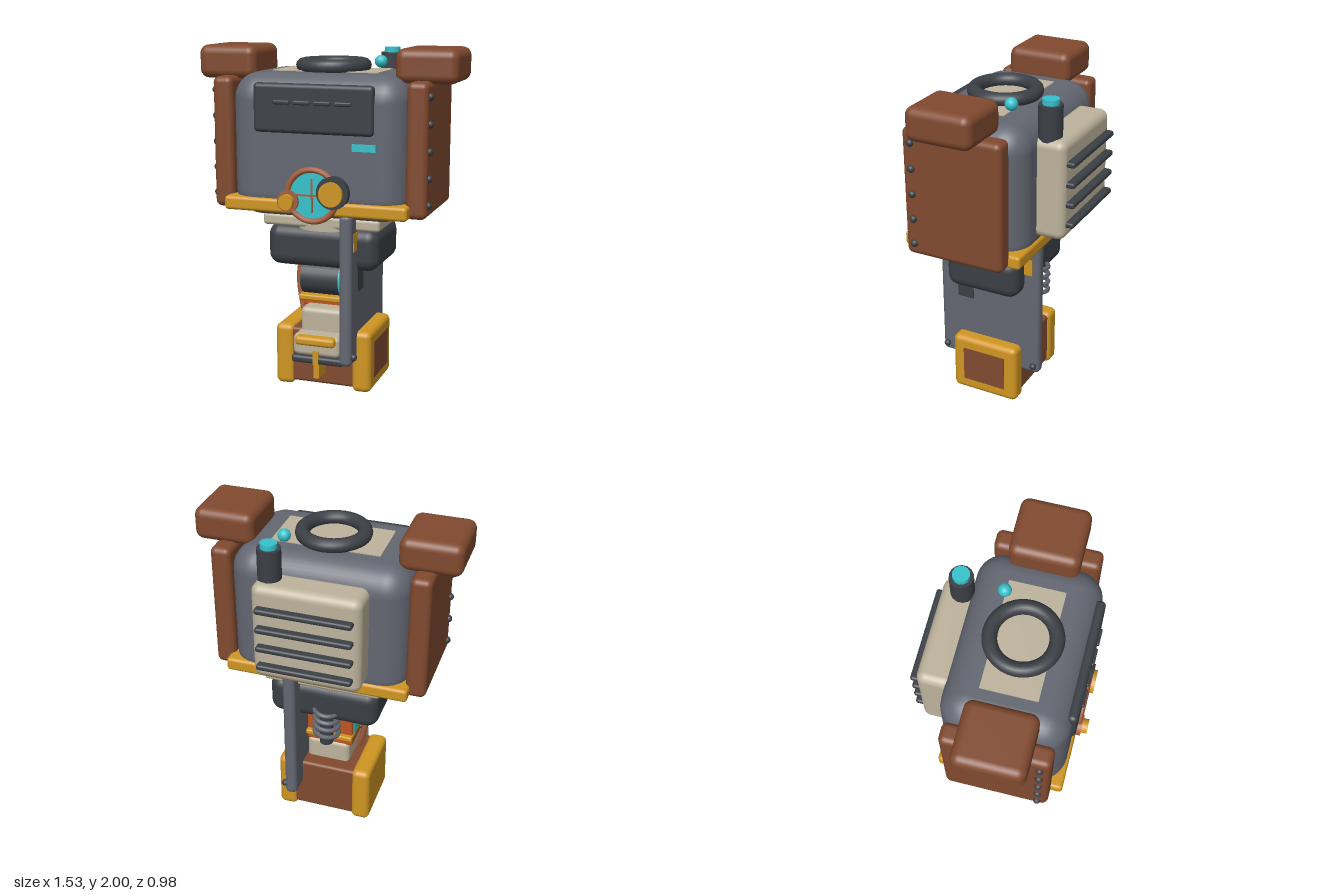
import * as THREE from 'three';
import { RoundedBoxGeometry } from 'three/addons/geometries/RoundedBoxGeometry.js';

export function createModel() {
  const model = new THREE.Group();
  model.name = 'walkerRobot';

  const mat = (name, color) => {
    const m = new THREE.MeshStandardMaterial({ color });
    m.name = name;
    return m;
  };
  const steel = mat('steelGrey', 0x636771);
  const rust = mat('rustBrown', 0x814a2f);
  const dark = mat('charcoal', 0x3b4046);
  const yellow = mat('ochreYellow', 0xcf9522);
  const cream = mat('cream', 0xbdb39c);
  const cyan = mat('cyan', 0x36c2cc);
  const copper = mat('copper', 0xa65e3d);
  const orange = mat('burntOrange', 0xbd5520);

  const add = (name, geo, material, x = 0, y = 0, z = 0) => {
    const m = new THREE.Mesh(geo, material);
    m.name = name;
    m.position.set(x, y, z);
    model.add(m);
    return m;
  };
  // Boxes are given by their extents: [min, max] on each axis
  const box = (name, material, [x0, x1], [y0, y1], [z0, z1], r = 0) => {
    const s = [x1 - x0, y1 - y0, z1 - z0];
    const geo = r ? new RoundedBoxGeometry(...s, 4, r) : new THREE.BoxGeometry(...s);
    return add(name, geo, material, (x0 + x1) / 2, (y0 + y1) / 2, (z0 + z1) / 2);
  };
  const ball = (name, material, r, x, y, z) =>
    add(name, new THREE.SphereGeometry(r, 16, 10), material, x, y, z);
  // Disc facing the front
  const dial = (name, material, r, x, y, z0, z1) => {
    const m = add(name, new THREE.CylinderGeometry(r, r, z1 - z0, 28), material, x, y, (z0 + z1) / 2);
    m.rotation.x = Math.PI / 2;
    return m;
  };

  // Torso
  box('torso', steel, [-0.515, 0.515], [1.04, 1.86], [-0.285, 0.415], 0.15);
  box('bumperFrame', yellow, [-0.54, 0.54], [1.08, 1.16], [-0.295, 0.43], 0.02);

  // Side armour, shoulder pads and rivets
  for (const s of [-1, 1]) {
    const span = (a, b) => (s > 0 ? [a, b] : [-b, -a]);
    box('sideArmour', rust, span(0.51, 0.63), [1.08, 1.83], [-0.23, 0.365], 0.035);
    box('shoulderPad', rust, span(0.413, 0.765), [1.81, 2.0], [-0.128, 0.262], 0.05);
    for (let i = 0; i < 5; i++) ball('rivet', dark, 0.022, s * 0.63, 1.155 + i * 0.149, 0.307);
  }

  // Face panel with vents
  box('facePanel', dark, [-0.35, 0.35], [1.535, 1.81], [0.38, 0.437], 0.025);
  for (let i = 0; i < 4; i++) {
    const x = -0.178 + i * 0.1187;
    box('faceVent', dark, [x - 0.05, x + 0.05], [1.695, 1.72], [0.43, 0.45], 0.009);
  }
  box('statusLight', cyan, [0.228, 0.365], [1.453, 1.492], [0.405, 0.432]);

  // Round gauge with two knobs
  dial('gaugeFace', cyan, 0.135, 0, 1.195, 0.4, 0.437);
  add('gaugeRing', new THREE.TorusGeometry(0.146, 0.017, 10, 36), copper, 0, 1.195, 0.435);
  box('gaugeBarVertical', copper, [-0.005, 0.005], [1.1, 1.29], [0.436, 0.442]);
  box('gaugeBarHorizontal', copper, [-0.1, 0.1], [1.19, 1.2], [0.436, 0.442]);
  dial('largeKnobBase', dark, 0.093, 0.122, 1.218, 0.4, 0.452);
  dial('largeKnob', yellow, 0.069, 0.117, 1.213, 0.45, 0.472);
  dial('smallKnobBase', copper, 0.062, -0.14, 1.157, 0.41, 0.457);
  dial('smallKnob', yellow, 0.043, -0.14, 1.157, 0.455, 0.49);

  // Roof hatch, lamp and exhaust
  box('roofPlate', cream, [-0.313, 0.315], [1.858, 1.866], [-0.09, 0.222]);
  add('hatchRing', new THREE.TorusGeometry(0.176, 0.041, 12, 40), dark, 0, 1.89, 0.065)
    .rotation.x = Math.PI / 2;
  ball('roofLamp', cyan, 0.037, 0.235, 1.905, -0.093);
  add('exhaustPipe', new THREE.CylinderGeometry(0.067, 0.067, 0.27, 14), dark, 0.235, 1.81, -0.327);
  add('exhaustGlow', new THREE.CylinderGeometry(0.048, 0.048, 0.06, 12), cyan, 0.235, 1.945, -0.327);

  // Back pack with slats
  box('backPack', cream, [-0.312, 0.312], [1.18, 1.765], [-0.445, -0.24], 0.05);
  for (let i = 0; i < 4; i++) {
    const y = 1.275 + i * 0.119;
    box('backSlat', dark, [-0.275, 0.275], [y - 0.017, y + 0.017], [-0.49, -0.43], 0.014);
  }

  // Waist and hip
  box('waistCollar', cream, [-0.352, 0.352], [0.98, 1.05], [-0.18, 0.31], 0.02);
  add('waistPivot', new THREE.CylinderGeometry(0.22, 0.22, 0.07, 28), cream, 0, 1.0, 0.105);
  box('hip', dark, [-0.335, 0.335], [0.737, 0.985], [-0.165, 0.303], 0.07);

  // Single leg plate on the left with its markings
  box('legPlate', steel, [0.14, 0.215], [0.195, 1.09], [-0.26, 0.402], 0.03);
  box('legStripe', yellow, [0.213, 0.22], [0.87, 0.972], [-0.217, 0.355]);
  box('legMark', dark, [0.213, 0.22], [0.617, 0.86], [0.175, 0.28]);
  for (const z of [-0.228, 0.365]) ball('legBolt', dark, 0.021, 0.222, 0.25, z);

  // Knee roller
  const roller = (name, material, r, x0, x1) => {
    const m = add(name, new THREE.CylinderGeometry(r, r, x1 - x0, 28), material, (x0 + x1) / 2, 0.667, 0.2);
    m.rotation.z = Math.PI / 2;
  };
  roller('kneeRoller', dark, 0.102, -0.128, 0.107);
  roller('kneeCap', cyan, 0.108, 0.105, 0.14);

  // Shin
  box('shin', orange, [-0.15, 0.14], [0.48, 0.76], [-0.03, 0.19], 0.012);
  box('shinFlange', yellow, [-0.155, 0.142], [0.53, 0.563], [-0.06, 0.26], 0.01);
  box('shinPanel', cyan, [-0.157, -0.149], [0.565, 0.74], [0.0, 0.11]);
  for (const y of [0.51, 0.625]) ball('shinBolt', dark, 0.015, -0.152, y, 0.15);

  // Cable along the shin
  const cable = new THREE.CatmullRomCurve3([
    [-0.13, 0.8, 0.1], [-0.185, 0.73, 0.11], [-0.197, 0.62, 0.12],
    [-0.175, 0.47, 0.13], [-0.13, 0.33, 0.15],
  ].map((p) => new THREE.Vector3(...p)));
  add('cable', new THREE.TubeGeometry(cable, 28, 0.019, 8), copper);

  // Rear shock absorber
  const coil = [];
  for (let i = 0; i <= 48; i++) {
    const a = (i / 48) * Math.PI * 8;
    coil.push(new THREE.Vector3(Math.cos(a) * 0.073, (i / 48) * 0.21, Math.sin(a) * 0.073));
  }
  add('shockSpring', new THREE.TubeGeometry(new THREE.CatmullRomCurve3(coil), 130, 0.014, 7),
    steel, -0.018, 0.61, -0.128);
  add('shockRod', new THREE.CylinderGeometry(0.042, 0.042, 0.25, 16), dark, -0.018, 0.69, -0.128);

  // Ankle and toe
  box('ankle', cream, [-0.132, 0.138], [0.3, 0.495], [-0.04, 0.29], 0.03);
  box('toe', cream, [-0.145, 0.14], [0.232, 0.36], [0.15, 0.385], 0.03);
  box('toeBar', yellow, [-0.12, 0.12], [0.305, 0.358], [0.34, 0.42], 0.02);
  box('toeBumper', dark, [-0.152, 0.165], [0.19, 0.235], [0.26, 0.395], 0.018);
  box('toeSpike', yellow, [-0.017, 0.017], [0.1, 0.272], [0.26, 0.398 - 0.02]);
  box('toeSpikeFront', yellow, [-0.017, 0.017], [0.19, 0.272], [0.37, 0.4]);

  // Foot block with end caps
  box('footBlock', rust, [-0.2, 0.2], [0.025, 0.36], [-0.13, 0.27], 0.02);
  for (const [a, b] of [[-0.295, -0.18], [0.18, 0.295]])
    box('footCap', yellow, [a, b], [0.003, 0.374], [-0.145, 0.285], 0.035);
  box('footInset', rust, [0.292, 0.299], [0.08, 0.3], [-0.07, 0.207]);

  return model;
}
